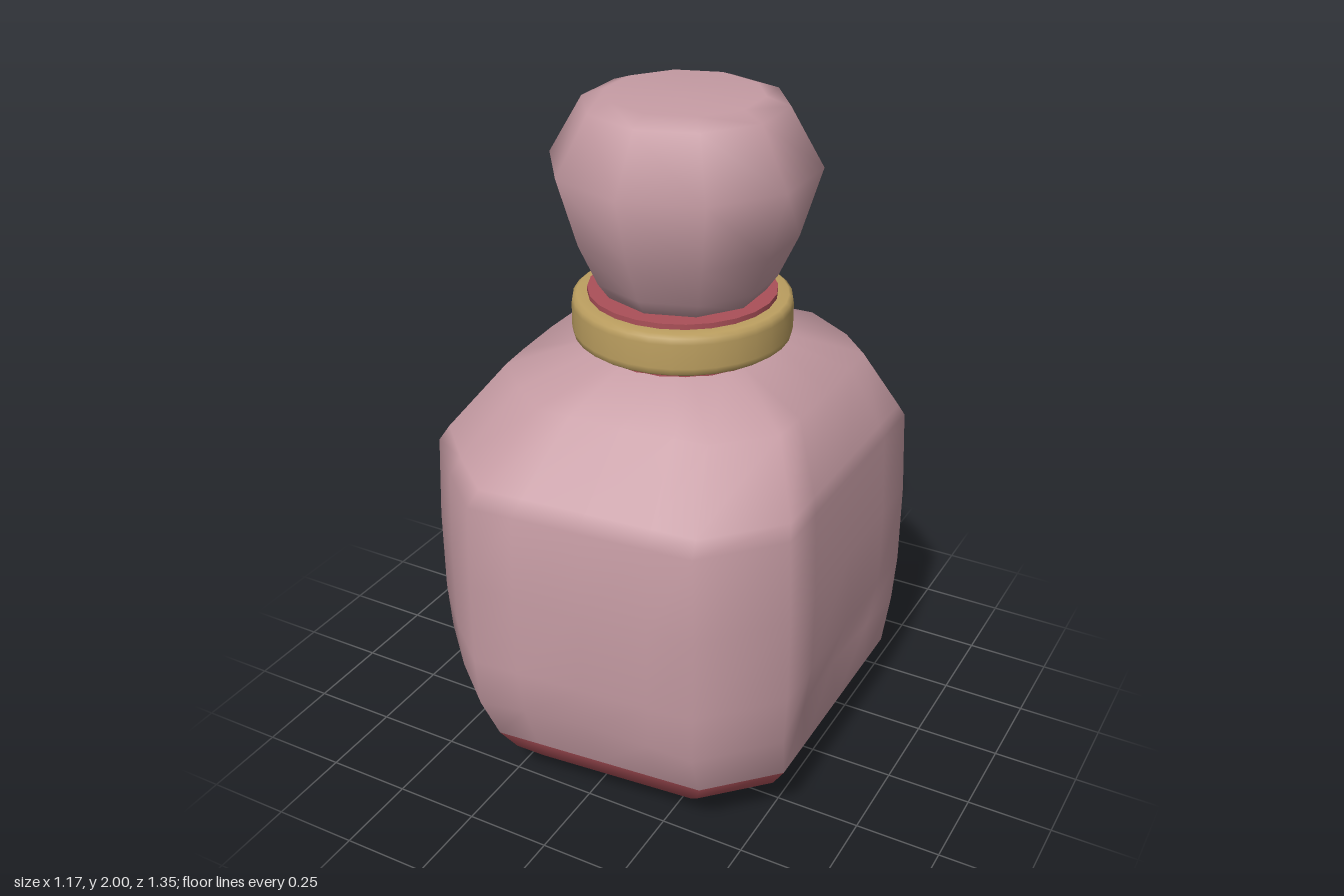
import * as THREE from 'three';

const glass = new THREE.MeshStandardMaterial({ name: 'pink glass', color: 0xc69ca4 });
const red = new THREE.MeshStandardMaterial({ name: 'red base', color: 0xab5058 });
const gold = new THREE.MeshStandardMaterial({ name: 'gold', color: 0xbc9f60 });

const NECK_X = 0.04;

// Widest outline of the flask as [x, z], clockwise from the back corner
const corners = [
  [-0.37, -0.63], [0.26, -0.68], [0.46, -0.54], [0.585, -0.4], [0.585, 0.41],
  [0.4, 0.61], [-0.26, 0.67], [-0.41, 0.54], [-0.555, 0.39], [-0.585, -0.4],
];

// Add points along the long sides so that they stay flat under smooth normals
function makeOutline() {
  const out = [];
  corners.forEach(([x, z], i) => {
    const [nx, nz] = corners[(i + 1) % corners.length];
    out.push({ x, z, mid: 0 });
    if (Math.hypot(nx - x, nz - z) > 0.5) {
      for (const t of [0.2, 0.5, 0.8]) {
        out.push({ x: x + (nx - x) * t, z: z + (nz - z) * t, mid: t === 0.5 ? 1 : 0.6 });
      }
    }
  });
  return out;
}

// Levels of the flask: height, x scale, z scale, x shift, dent, roundness
const levels = [
  [0.0, 0.54, 0.5, 0.01, 0, 0],
  [0.015, 0.62, 0.59, 0.01, 0, 0],
  [0.05, 0.73, 0.7, 0.01, 0, 0],
  [0.13, 0.87, 0.82, 0.01, 0, 0],
  [0.21, 0.95, 0.9, 0.01, 0, 0],
  [0.35, 0.985, 0.985, 0, 0.025, 0],
  [0.5, 1, 1, 0, 0, 0],
  [0.75, 1, 1, 0, 0, 0],
  [1.0, 0.98, 0.99, 0, 0, 0],
  [1.04, 0.95, 0.93, 0.005, 0, 0],
  [1.23, 0.77, 0.69, 0.04, 0, 0.15],
  [1.305, 0, 0, NECK_X, 0, 1],
];
const BASE_ROWS = 4;

function makeFlask() {
  const outline = makeOutline();
  const n = outline.length;
  const positions = [];
  for (const [y, sx, sz, dx, dent, round] of levels) {
    for (const p of outline) {
      const len = Math.hypot(p.x, p.z);
      const inset = 1 - (dent * p.mid) / len;
      const radius = round === 1 ? 0.255 : 0.53;
      positions.push(
        THREE.MathUtils.lerp(p.x * sx * inset, (p.x / len) * radius * (round === 1 ? 1 : 0.85), round) + dx,
        y,
        THREE.MathUtils.lerp(p.z * sz * inset, (p.z / len) * radius * (round === 1 ? 1 : 0.9), round),
      );
    }
  }
  const centre = positions.length / 3;
  positions.push(0, 0, 0);

  const index = [];
  for (let j = 0; j < n; j++) index.push(centre, j, (j + 1) % n);
  let baseEnd = 0;
  for (let r = 0; r < levels.length - 1; r++) {
    if (r === BASE_ROWS) baseEnd = index.length;
    for (let j = 0; j < n; j++) {
      const a = r * n + j;
      const b = r * n + ((j + 1) % n);
      index.push(a, a + n, b, b, a + n, b + n);
    }
  }
  const geo = new THREE.BufferGeometry();
  geo.setAttribute('position', new THREE.Float32BufferAttribute(positions, 3));
  geo.setIndex(index);
  geo.addGroup(0, baseEnd, 0);
  geo.addGroup(baseEnd, index.length - baseEnd, 1);
  geo.computeVertexNormals();
  return new THREE.Mesh(geo, [red, glass]);
}

function lathe(profile, sides, material) {
  const points = profile.map(([r, y]) => new THREE.Vector2(r, y));
  const mesh = new THREE.Mesh(new THREE.LatheGeometry(points, sides), material);
  mesh.position.x = NECK_X;
  return mesh;
}

export function createModel() {
  const model = new THREE.Group();
  model.name = 'perfumeBottle';
  const add = (name, mesh) => {
    mesh.name = name;
    model.add(mesh);
    return mesh;
  };

  // Faceted flask with a red lower part
  add('flask', makeFlask());

  // Short red neck seen above and below the collar
  const neck = add('neck', new THREE.Mesh(new THREE.CylinderGeometry(0.265, 0.265, 0.175, 24), red));
  neck.position.set(NECK_X, 1.3675, 0);

  // Gold collar with softened edges
  add('collar', lathe([
    [0.262, 1.32], [0.295, 1.32], [0.306, 1.328], [0.309, 1.345],
    [0.309, 1.415], [0.306, 1.432], [0.295, 1.44], [0.262, 1.44],
  ], 32, gold));

  // Ten-sided stopper
  const stopper = add('stopper', lathe([
    [0, 1.44], [0.225, 1.45], [0.26, 1.5], [0.315, 1.62],
    [0.373, 1.815], [0.28, 1.975], [0.215, 1.998], [0, 2.0],
  ], 10, glass));
  stopper.position.z = -0.01;

  return model;
}
